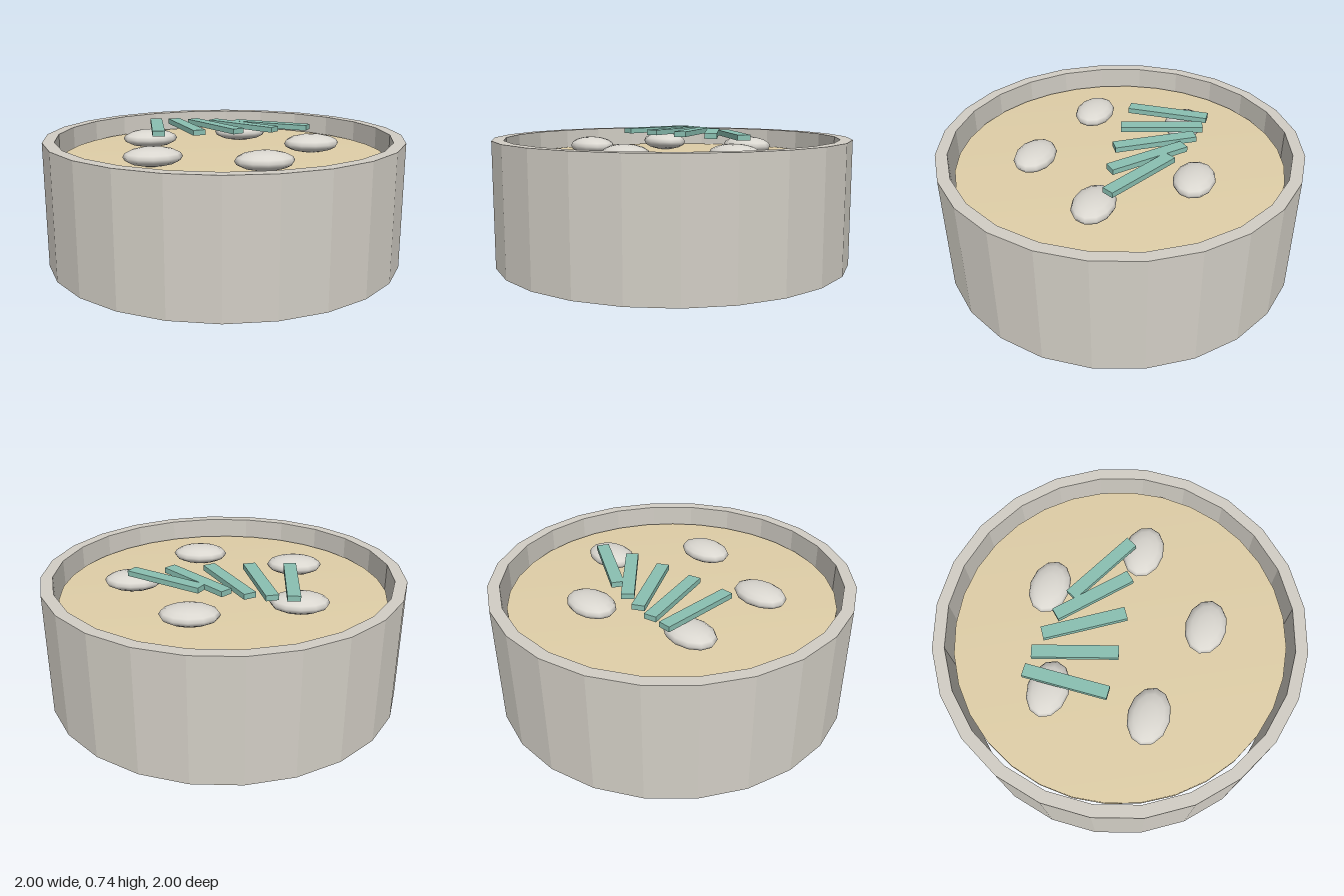
import * as THREE from 'three';

const shell = new THREE.MeshStandardMaterial({ name: 'warmGrey', color: 0xd2cec5 });
const cream = new THREE.MeshStandardMaterial({ name: 'cream', color: 0xe0cfa8 });
const pale = new THREE.MeshStandardMaterial({ name: 'paleGrey', color: 0xdad7d0 });
const teal = new THREE.MeshStandardMaterial({ name: 'teal', color: 0x8ac0b2 });

// Points of a 24-sided polygon with flats on the axes
function polygon(radius, sides = 24) {
  return Array.from({ length: sides }, (_, i) => {
    const a = ((i + 0.5) / sides) * Math.PI * 2;
    return new THREE.Vector2(Math.cos(a) * radius, Math.sin(a) * radius);
  });
}

function lathe(points, segments) {
  return new THREE.LatheGeometry(points.map(([r, y]) => new THREE.Vector2(r, y)), segments);
}

export function createModel() {
  const model = new THREE.Group();
  model.name = 'bowl';

  function add(name, geometry, material, x = 0, y = 0, z = 0) {
    const mesh = new THREE.Mesh(geometry, material);
    mesh.name = name;
    mesh.position.set(x, y, z);
    model.add(mesh);
    return mesh;
  }

  // Faceted outer ring, open at both ends
  const ringShape = new THREE.Shape(polygon(1.0087));
  ringShape.holes.push(new THREE.Path(polygon(0.943)));
  const ring = new THREE.ExtrudeGeometry(ringShape, { depth: 0.7, bevelEnabled: false });
  ring.rotateX(-Math.PI / 2);
  add('outerRing', ring, shell);

  // Tapered inner body
  add('innerBody', lathe([[0, 0.025], [0.83, 0.025], [0.91, 0.56], [0, 0.56]], 32), shell);

  // Cream filling with softened rim normals
  add('filling', lathe([[0, 0.55], [0.915, 0.55], [0.915, 0.59], [0, 0.59]], 32), cream);

  // Five flattened dumplings around the centre
  for (let i = 0; i < 5; i++) {
    const a = (i / 5) * Math.PI * 2;
    const dumpling = new THREE.SphereGeometry(1, 12, 8);
    dumpling.scale(0.16, 0.052, 0.113);
    add('dumpling' + (i + 1), dumpling, pale, 0.51 * Math.cos(a), 0.64, 0.47 * Math.sin(a) - 0.004);
  }

  // Fan of five garnish strips
  for (let i = 0; i < 5; i++) {
    const strip = add('garnishStrip' + (i + 1), new THREE.BoxGeometry(0.07, 0.03, 0.462), teal,
      -0.372 + i * 0.169, 0.72, -0.19);
    strip.rotation.y = (i * Math.PI) / 12;
  }

  return model;
}
